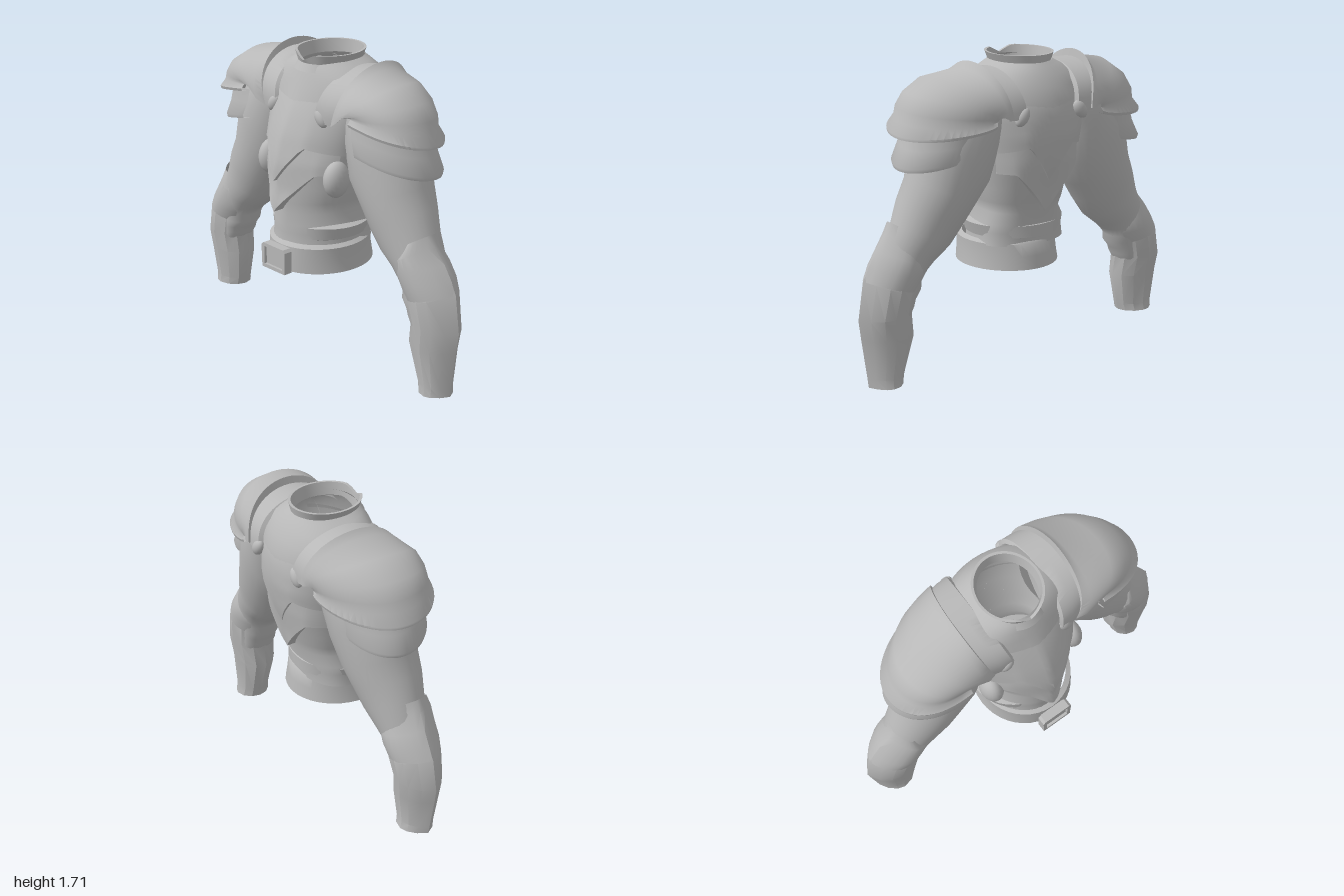
import * as THREE from 'three';
import { mergeVertices, toCreasedNormals } from 'three/addons/utils/BufferGeometryUtils.js';

const steel = new THREE.MeshStandardMaterial({ color: 0xb8b8b8, side: THREE.DoubleSide });
steel.name = 'steel grey';
const lerp = THREE.MathUtils.lerp;

// Grid surface: f(u 0..1, row index) -> [x, y, z]
function surface(name, f, nu, rows, mirror = false, crease = 0.7) {
  const pos = [], idx = [];
  for (let j = 0; j <= rows; j++)
    for (let i = 0; i <= nu; i++) {
      const [x, y, z] = f(i / nu, j);
      pos.push(mirror ? -x : x, y, z);
    }
  for (let j = 0; j < rows; j++)
    for (let i = 0; i < nu; i++) {
      const a = j * (nu + 1) + i, b = a + 1, c = a + nu + 1, d = c + 1;
      if (mirror) idx.push(a, c, b, b, c, d);
      else idx.push(a, b, c, b, d, c);
    }
  let g = new THREE.BufferGeometry();
  g.setAttribute('position', new THREE.Float32BufferAttribute(pos, 3));
  g.setIndex(idx);
  g = toCreasedNormals(mergeVertices(g, 1e-4), crease);
  return named(name, g);
}

function named(name, geometry) {
  const m = new THREE.Mesh(geometry, steel);
  m.name = name;
  return m;
}

// Torso sections: y, half width, front z, back z, keel amount
const TORSO = [
  [0.68, 0.255, 0.305, -0.225, 0], [0.75, 0.245, 0.30, -0.225, 0.2],
  [0.80, 0.25, 0.305, -0.235, 0.3], [0.86, 0.215, 0.295, -0.24, 0.4], [0.92, 0.235, 0.305, -0.26, 0.6],
  [1.00, 0.25, 0.30, -0.28, 1], [1.15, 0.28, 0.31, -0.33, 1], [1.30, 0.31, 0.285, -0.365, 1],
  [1.40, 0.33, 0.25, -0.37, 0.8], [1.48, 0.34, 0.215, -0.36, 0.5], [1.55, 0.33, 0.18, -0.33, 0.2],
  [1.61, 0.28, 0.155, -0.295, 0], [1.65, 0.20, 0.135, -0.26, 0], [1.67, 0.16, 0.12, -0.24, 0],
];

function torsoPoint(angle, y, off = 0) {
  let k = 0;
  while (k < TORSO.length - 2 && y > TORSO[k + 1][0]) k++;
  const A = TORSO[k], B = TORSO[k + 1];
  const t = THREE.MathUtils.clamp((y - A[0]) / (B[0] - A[0]), 0, 1);
  const [, hw, zf, zb, keel] = A.map((v, i) => lerp(v, B[i], t));
  const s = Math.sin(angle), c = Math.cos(angle), mid = -0.04;
  const z = c >= 0
    ? mid + (zf + off - mid) * lerp(c, Math.pow(c, 0.6) * (1 - 0.3 * Math.abs(s)), keel)
    : mid - (mid - zb + off) * Math.pow(-c, 0.8);
  return [(hw + off * 0.35) * s, y, z];
}

// Pointed breast or back plate, flaring outwards to a V-shaped lower edge
function plate(name, facing, top, edge, flare, spread) {
  return surface(name, (u, j) => {
    const a = (u * 2 - 1) * spread;
    const low = edge(Math.abs(Math.sin(a)));
    const v = Math.max(0, j - 1) / 9;
    return torsoPoint(facing + a, lerp(low, top, v), j === 0 ? 0 : lerp(flare, -0.004, v));
  }, 32, 10, false, 0.6);
}

// Limb from sections: outer x, y, inner x, y, front z, back z; the outer side comes to a ridge
function limb(name, rings, sides, mirror, crease, point = 0) {
  return surface(name, (u, j) => {
    const [ox, oy, ix, iy, zf, zb] = rings[j];
    const a = u * Math.PI * 2, s = Math.sin(a), c = Math.cos(a);
    const w = c > 0 ? c * (1 - point * Math.abs(s)) : c;
    return [(ox + ix) / 2 + w * (ox - ix) / 2, (oy + iy) / 2 + w * (oy - iy) / 2,
      (zf + zb) / 2 + s * (zf - zb) / 2];
  }, sides, rings.length - 1, mirror, crease);
}

// Arched plate from arcs: top point x, y; front end x, y, z; back end x, y, z
function arched(name, arcs, mirror, backPower) {
  return surface(name, (u, j) => {
    const [tx, ty, fx, fy, fz, bx, by, bz] = arcs[j];
    const a = u * Math.PI, c = -Math.cos(a), s = Math.max(0, Math.sin(a));
    const across = Math.pow(s, c < 0 ? backPower : 0.78), up = Math.pow(s, 0.82);
    const C = [(fx + bx) / 2, (fy + by) / 2, (fz + bz) / 2];
    const H = [(fx - bx) / 2, (fy - by) / 2, (fz - bz) / 2], T = [tx, ty, -0.07];
    return C.map((m, i) => m + c * H[i] + (i === 0 ? across : up) * (T[i] - m));
  }, 32, arcs.length - 1, mirror, 0.75);
}

// Horizontal band: y, half width, front z, back z
function band(name, rings, cx = 0) {
  return surface(name, (u, j) => {
    const [y, hw, zf, zb] = rings[j], a = u * Math.PI * 2;
    return [cx + hw * Math.sin(a), y, (zf + zb) / 2 + Math.cos(a) * (zf - zb) / 2];
  }, 40, rings.length - 1);
}

const SLEEVE = [
  [0.34, 1.62, 0.17, 1.34, 0.08, -0.27], [0.52, 1.57, 0.215, 1.18, 0.15, -0.30],
  [0.64, 1.36, 0.25, 1.03, 0.165, -0.285],
  [0.69, 1.10, 0.33, 0.93, 0.15, -0.26], [0.74, 0.99, 0.40, 0.82, 0.14, -0.23],
  [0.78, 0.87, 0.47, 0.72, 0.12, -0.20], [0.82, 0.78, 0.56, 0.65, 0.11, -0.18],
  [0.85, 0.66, 0.60, 0.61, 0.10, -0.16], [0.85, 0.57, 0.635, 0.56, 0.09, -0.15],
  [0.85, 0.52, 0.635, 0.51, 0.09, -0.14], [0.85, 0.47, 0.67, 0.46, 0.085, -0.135],
  [0.85, 0.42, 0.68, 0.42, 0.08, -0.13], [0.85, 0.36, 0.71, 0.36, 0.07, -0.12],
];
const ELBOW = [
  [0.795, 0.88, 0.67, 0.80, 0.085, -0.12], [0.825, 0.82, 0.61, 0.70, 0.12, -0.15],
  [0.885, 0.74, 0.60, 0.635, 0.12, -0.175], [0.935, 0.66, 0.625, 0.58, 0.12, -0.18],
  [0.965, 0.59, 0.665, 0.50, 0.108, -0.168],
];
const VAMBRACE = [
  [0.93, 0.66, 0.67, 0.56, 0.10, -0.16], [0.968, 0.59, 0.67, 0.49, 0.11, -0.17],
  [1.00, 0.38, 0.695, 0.40, 0.10, -0.155], [0.985, 0.27, 0.68, 0.26, 0.09, -0.14],
  [0.955, 0.05, 0.745, 0.05, 0.065, -0.12], [0.95, 0.00, 0.755, 0.00, 0.07, -0.13],
];
const PAULDRON = [
  [0.32, 1.63, 0.25, 1.39, 0.17, 0.25, 1.42, -0.34], [0.335, 1.69, 0.26, 1.38, 0.195, 0.25, 1.42, -0.37],
  [0.37, 1.655, 0.31, 1.41, 0.215, 0.28, 1.42, -0.37], [0.54, 1.62, 0.37, 1.46, 0.215, 0.30, 1.43, -0.36],
  [0.66, 1.54, 0.40, 1.465, 0.21, 0.32, 1.43, -0.355], [0.715, 1.46, 0.41, 1.465, 0.205, 0.33, 1.42, -0.345],
  [0.725, 1.40, 0.42, 1.46, 0.205, 0.33, 1.41, -0.34], [0.77, 1.345, 0.42, 1.44, 0.225, 0.34, 1.39, -0.35],
  [0.77, 1.33, 0.42, 1.425, 0.22, 0.34, 1.375, -0.345], [0.72, 1.33, 0.42, 1.42, 0.18, 0.34, 1.375, -0.31],
];
const LAME = [
  [0.69, 1.39, 0.40, 1.43, 0.18, 0.36, 1.40, -0.29], [0.725, 1.27, 0.41, 1.36, 0.19, 0.38, 1.32, -0.275],
  [0.77, 1.18, 0.44, 1.28, 0.20, 0.42, 1.25, -0.265], [0.765, 1.16, 0.44, 1.26, 0.195, 0.42, 1.23, -0.26],
  [0.71, 1.17, 0.43, 1.26, 0.16, 0.42, 1.23, -0.23],
];
const STRAP = [
  [0.185, 1.635, 0.14, 1.42, 0.19, 0.15, 1.43, -0.34], [0.20, 1.65, 0.15, 1.40, 0.21, 0.16, 1.42, -0.365],
  [0.27, 1.65, 0.21, 1.385, 0.205, 0.22, 1.41, -0.365], [0.34, 1.65, 0.27, 1.385, 0.19, 0.27, 1.41, -0.355],
];

function boss(name, x, y, z, sx, sy, sz, tilt = 0) {
  const m = named(name, new THREE.SphereGeometry(1, 20, 12));
  m.position.set(x, y, z);
  m.scale.set(sx, sy, sz);
  m.rotation.z = tilt;
  return m;
}

export function createModel() {
  const model = new THREE.Group();
  model.name = 'upper body armour';

  // Hollow body and layered plates
  model.add(surface('torso', (u, j) => torsoPoint(u * Math.PI * 2, TORSO[j][0]), 48, TORSO.length - 1, false, 0.9));
  const upperEdge = s => s < 0.43 ? 1.055 + s * 0.45 : 1.25 - (s - 0.43) * 0.08;
  const lowerEdge = s => 0.88 + Math.min(s, 0.65) * 0.34;
  for (const [side, facing, up, low] of [['breast', 0, 0.06, 0.066], ['back', Math.PI, 0.03, 0.05]]) {
    model.add(plate(side + ' upper plate', facing, 1.5, upperEdge, up, 1.25));
    model.add(plate(side + ' lower plate', facing, 1.28, lowerEdge, low, 1.1));
  }

  // Neck collar with a notch at the front
  const neck = [[1.62, 0.18, 0.215], [1.66, 0.155, 0.19], [1.71, 0.178, 0.2], [1.71, 0.165, 0.185], [1.64, 0.15, 0.175]];
  model.add(surface('collar', (u, j) => {
    const a = u * Math.PI * 2, [y, rx, rz] = neck[j];
    const x = rx * Math.sin(a), c = Math.cos(a);
    const notch = c > 0 && j > 1 ? 0.035 * Math.max(0, 1 - Math.abs(x) / 0.07) : 0;
    return [x, y - notch, -0.05 + rz * c];
  }, 48, neck.length - 1));

  // Waist band, belt and buckle
  model.add(band('waist band', [[0.715, 0.235, 0.26, -0.21], [0.725, 0.26, 0.275, -0.24],
    [0.79, 0.278, 0.275, -0.24], [0.805, 0.235, 0.26, -0.21]]));
  model.add(band('belt', [[0.55, 0.275, 0.335, -0.255], [0.62, 0.265, 0.335, -0.245],
    [0.69, 0.265, 0.33, -0.235], [0.705, 0.24, 0.30, -0.22]], 0.02));
  const frame = new THREE.Shape();
  frame.moveTo(-0.09, -0.07).lineTo(0.09, -0.07).lineTo(0.095, 0.055).lineTo(0.08, 0.07)
    .lineTo(-0.08, 0.07).lineTo(-0.095, 0.055).closePath();
  const hole = new THREE.Path();
  hole.moveTo(-0.07, -0.05).lineTo(-0.07, 0.05).lineTo(0.07, 0.05).lineTo(0.07, -0.05).closePath();
  frame.holes.push(hole);
  const buckle = named('buckle', new THREE.ExtrudeGeometry(frame, { depth: 0.05, bevelEnabled: false }));
  buckle.position.set(0.015, 0.62, 0.335);
  const tongue = named('buckle tongue', new THREE.BoxGeometry(0.15, 0.13, 0.04));
  tongue.position.set(0.015, 0.615, 0.35);
  model.add(buckle, tongue);

  // Arms, shoulder armour and side fittings
  for (const side of [1, -1]) {
    const mirror = side < 0, arm = new THREE.Group();
    arm.name = mirror ? 'right arm' : 'left arm';
    // The right forearm is shorter and its cuff wider
    const lift = rings => mirror
      ? rings.map(r => r.map((v, i) => (i === 1 || i === 3) && v < 0.66 ? 0.66 - (0.66 - v) * 0.833
        : i === 2 && r[1] < 0.1 ? v - 0.035 : v))
      : rings;
    arm.add(limb('sleeve', lift(SLEEVE), 28, mirror, 0.9));
    arm.add(limb('elbow guard', lift(ELBOW), 24, mirror, 0.7, 0.25));
    arm.add(limb('vambrace', lift(VAMBRACE), 12, mirror, 0.45, 0.3));
    arm.add(arched('shoulder strap', STRAP, mirror, 0.9));
    arm.add(arched('pauldron', PAULDRON, mirror, 1.12));
    arm.add(arched('pauldron lower plate', LAME, mirror, 1.05));
    arm.add(boss('front strap end', side * 0.185, 1.41, 0.19, 0.035, 0.055, 0.03, side * 0.6));
    arm.add(boss('back strap end', side * 0.185, 1.42, -0.35, 0.035, 0.055, 0.03, side * 0.6));
    arm.add(boss('side boss', side * 0.26, 1.08, 0.15, 0.06, 0.1, 0.08));
    model.add(arm);
  }
  return model;
}
